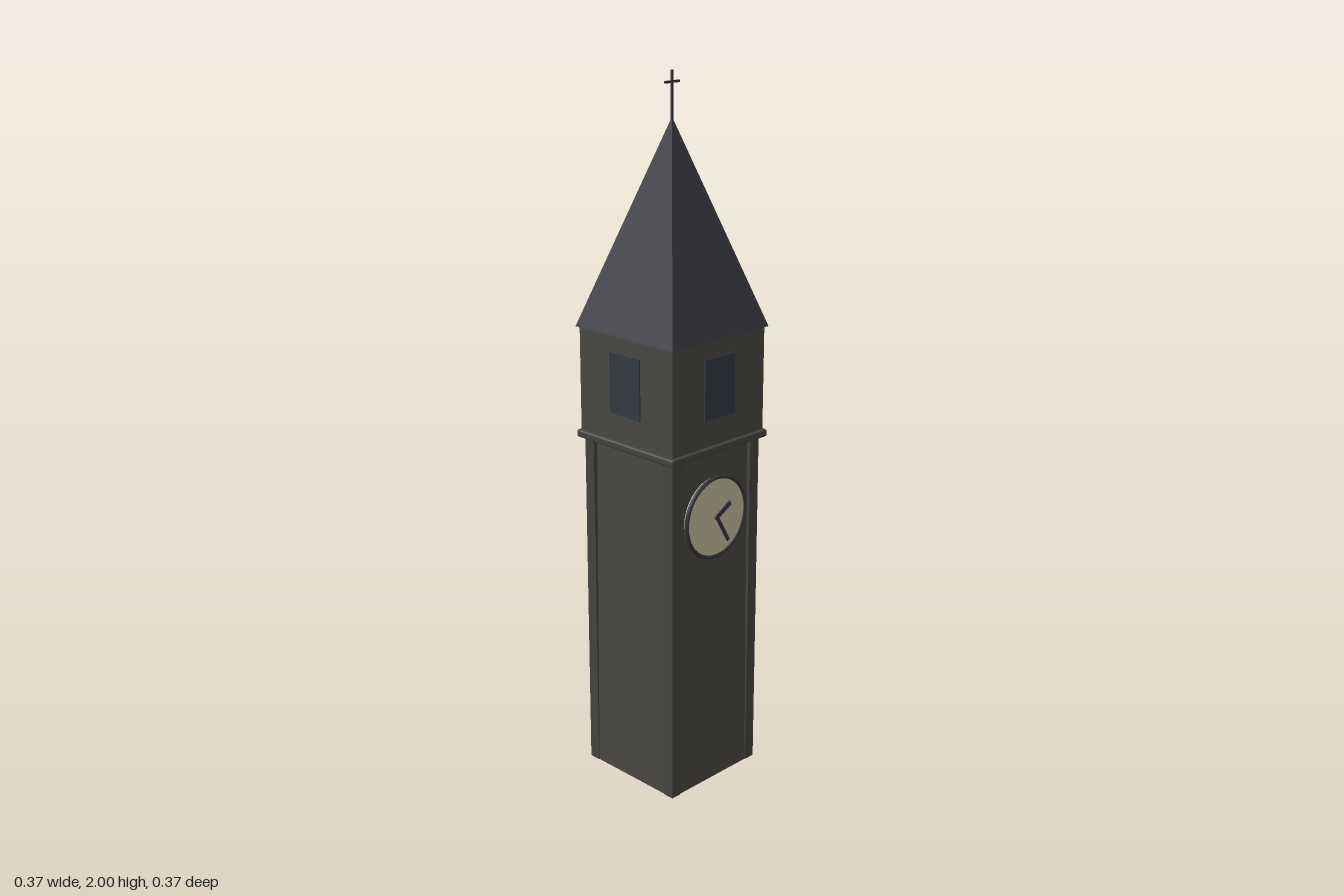
import * as THREE from 'three';
import { RoundedBoxGeometry } from 'three/addons/geometries/RoundedBoxGeometry.js';

const mat = (color, extra = {}) => new THREE.MeshStandardMaterial({ color, ...extra });

export function createModel() {
  const tower = new THREE.Group();
  tower.name = 'clockTower';

  const stone = mat(0x494742, { flatShading: true, side: THREE.DoubleSide });
  const trim = mat(0x45433e);
  const slate = mat(0x3a3d43, { flatShading: true, side: THREE.DoubleSide });
  const shade = mat(0x343a43);
  const iron = mat(0x34353a);
  const cream = mat(0xc6bd9f);

  const add = (name, geometry, material, x = 0, y = 0, z = 0, parent = tower) => {
    const mesh = new THREE.Mesh(geometry, material);
    mesh.name = name;
    mesh.position.set(x, y, z);
    parent.add(mesh);
    return mesh;
  };
  const box = (w, h, d) => new THREE.BoxGeometry(w, h, d);
  // Four-sided tapered block, given its half widths at top and bottom
  const frustum = (top, bottom, h, open) =>
    new THREE.CylinderGeometry(top * Math.SQRT2, bottom * Math.SQRT2, h, 4, 1, open).rotateY(Math.PI / 4);

  // Shaft: hollow, open underneath, tapering slightly behind the corner posts
  add('shaft', frustum(0.157, 0.168, 1.005, true), stone, 0, 0.5025, 0);
  for (const sx of [-1, 1]) {
    for (const sz of [-1, 1]) {
      add('cornerPost', box(0.034, 1.005, 0.034), trim, sx * 0.153, 0.5025, sz * 0.153);
    }
  }

  // Moulding and belfry
  add('cornice', new RoundedBoxGeometry(0.374, 0.022, 0.374, 3, 0.006), trim, 0, 1.015, 0);
  add('belfry', frustum(0.177, 0.177, 0.3, false), stone, 0, 1.174, 0);

  // One belfry opening on each side
  for (let i = 0; i < 4; i++) {
    const side = new THREE.Group();
    side.name = 'belfrySide';
    side.rotation.y = i * Math.PI / 2;
    add('belfryWindow', box(0.115, 0.17, 0.01), shade, 0, 1.187, 0.1755, side);
    tower.add(side);
  }

  // Spire with a thin eave
  add('eave', frustum(0.183, 0.185, 0.006, false), slate, 0, 1.323, 0);
  add('spire', frustum(0, 0.183, 0.555, false), slate, 0, 1.6035, 0);

  // Cross on the tip
  add('crossPost', box(0.006, 0.13, 0.006), iron, 0, 1.935, 0);
  add('crossBar', box(0.054, 0.006, 0.006), iron, 0, 1.97, 0);

  // Clock on the front only
  const clock = new THREE.Group();
  clock.name = 'clock';
  clock.position.set(0, 0.812, 0.16);
  tower.add(clock);
  const disc = (r, d) => new THREE.CylinderGeometry(r, r, d, 48).rotateX(Math.PI / 2);
  add('clockFace', disc(0.114, 0.02), cream, 0, 0, 0.002, clock);
  add('clockRim', new THREE.TorusGeometry(0.115, 0.006, 8, 48), iron, 0, 0, 0.01, clock);
  add('clockHub', disc(0.008, 0.006), iron, 0, 0, 0.014, clock);
  // Hands turn clockwise from twelve
  const hand = (name, length, width, degrees) => {
    const geometry = box(width, length, 0.004).translate(0, length / 2, 0);
    add(name, geometry, iron, 0, 0, 0.014, clock).rotation.z = -THREE.MathUtils.degToRad(degrees);
  };
  hand('hourHand', 0.06, 0.014, 60);
  hand('minuteHand', 0.092, 0.01, 150);

  return tower;
}
